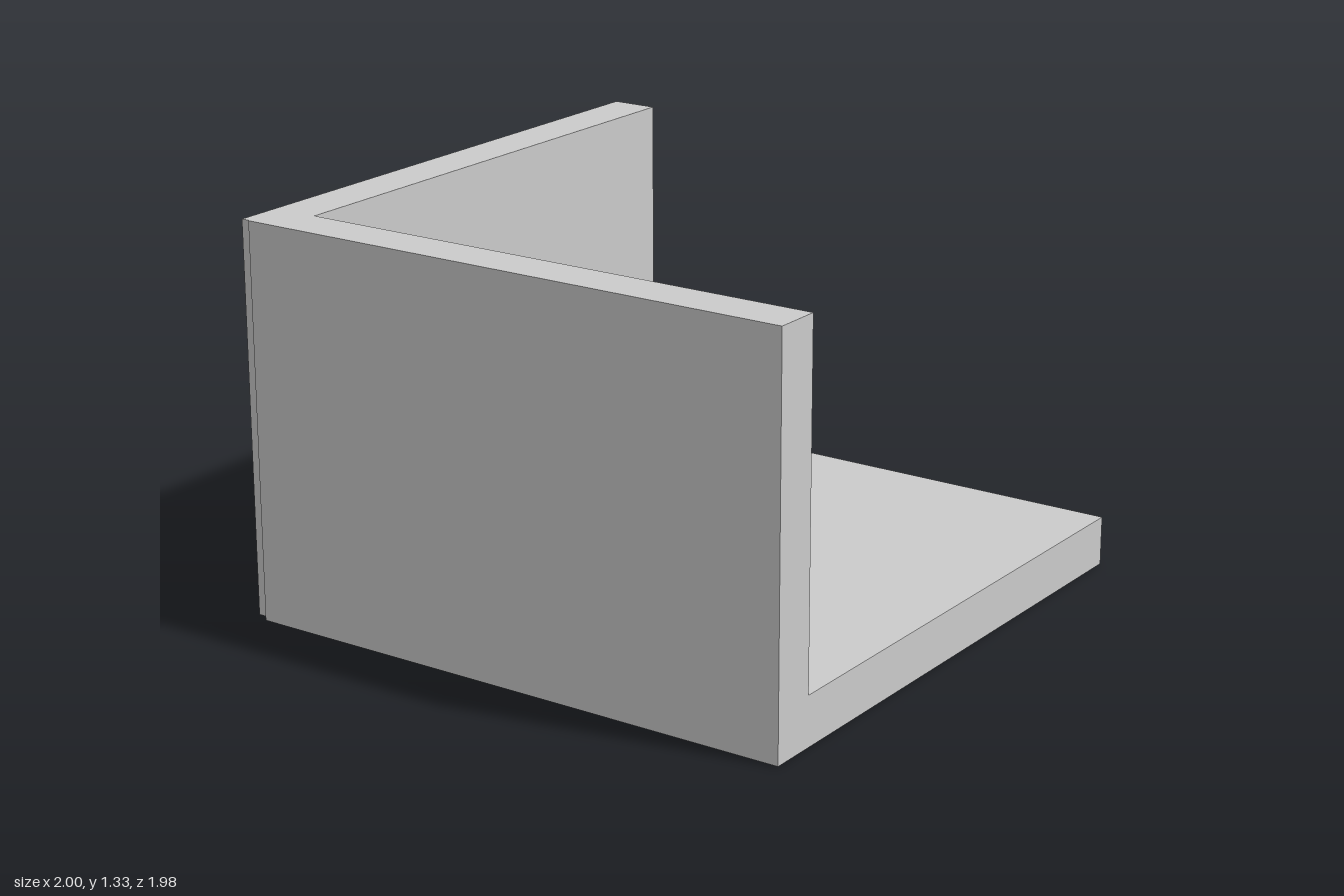
import * as THREE from 'three';

const material = new THREE.MeshStandardMaterial({ color: 0xcccccc, flatShading: true });

// Box spanning two opposite corners
function slab(name, min, max) {
  const size = max.map((v, i) => v - min[i]);
  const mesh = new THREE.Mesh(new THREE.BoxGeometry(...size), material);
  mesh.position.set(...max.map((v, i) => (v + min[i]) / 2));
  mesh.name = name;
  return mesh;
}

export function createModel() {
  const group = new THREE.Group();
  group.name = 'openCornerBox';
  group.add(
    // Floor plate
    slab('floor', [-0.97, 0, -0.99], [1, 0.167, 0.99]),
    // Wall along the front edge
    slab('frontWall', [-0.97, 0.167, 0.83], [1, 1.33, 0.99]),
    // Wall along the right edge, sitting slightly proud of the floor
    slab('rightWall', [-1, 0.012, -0.99], [-0.84, 1.33, 0.986]),
  );
  return group;
}
